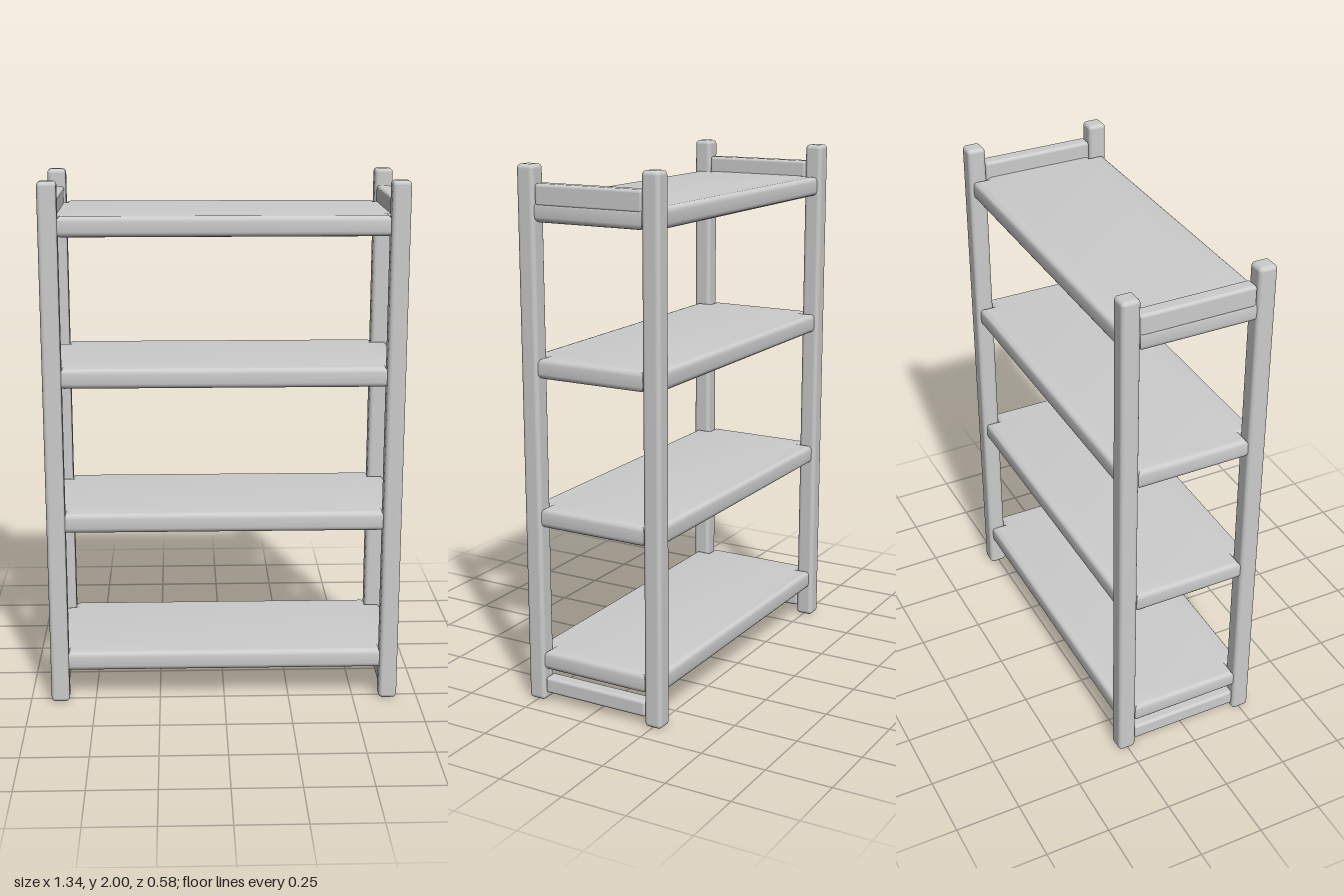
import * as THREE from 'three';
import { RoundedBoxGeometry } from 'three/addons/geometries/RoundedBoxGeometry.js';
import { toCreasedNormals } from 'three/addons/utils/BufferGeometryUtils.js';

const HEIGHT = 2;
const POST = 0.07;          // post thickness
const POST_X = 0.636;       // post centres
const POST_Z = 0.253;
const SHELF_H = 0.076;

// Board with notched corners: a full-depth slab whose ends reach between the posts
function shelfGeometry() {
  const inX = 0.605, outX = 0.663, inZ = 0.218, outZ = 0.274, bevel = 0.02;
  const quarter = [[outX, inZ], [inX, inZ], [inX, outZ]];
  const mirrored = [...quarter].reverse();
  const outline = [
    ...quarter,
    ...mirrored.map(([x, z]) => [-x, z]),
    ...quarter.map(([x, z]) => [-x, -z]),
    ...mirrored.map(([x, z]) => [x, -z]),
  ].map(([x, z]) => new THREE.Vector2(x, z));
  const geometry = new THREE.ExtrudeGeometry(new THREE.Shape(outline), {
    depth: SHELF_H - 2 * bevel,
    bevelEnabled: true,
    bevelSize: bevel,
    bevelThickness: bevel,
    bevelOffset: -bevel,
    bevelSegments: 4,
  });
  geometry.rotateX(-Math.PI / 2);
  geometry.center();
  return toCreasedNormals(geometry, 0.7);
}

export function createModel() {
  const group = new THREE.Group();
  group.name = 'shelvingUnit';
  const grey = new THREE.MeshStandardMaterial({ color: 0xcccccc });
  grey.name = 'light grey';

  const add = (name, geometry, x, y, z) => {
    const mesh = new THREE.Mesh(geometry, grey);
    mesh.name = name;
    mesh.position.set(x, y, z);
    group.add(mesh);
  };

  const postGeo = new RoundedBoxGeometry(POST, HEIGHT, POST, 4, 0.016);
  const topRailGeo = new RoundedBoxGeometry(0.056, 0.08, 0.436, 4, 0.012);
  const bottomRailGeo = new RoundedBoxGeometry(0.056, 0.063, 0.436, 4, 0.012);

  // Corner posts and the side rails joining them
  for (const [side, sx] of [['left', 1], ['right', -1]]) {
    add(side + 'FrontPost', postGeo, sx * POST_X, HEIGHT / 2, POST_Z);
    add(side + 'BackPost', postGeo, sx * POST_X, HEIGHT / 2, -POST_Z);
    add(side + 'TopRail', topRailGeo, sx * 0.635, 1.895, 0);
    add(side + 'BottomRail', bottomRailGeo, sx * 0.635, 0.062, 0);
  }

  // Four evenly spaced shelves
  const shelfGeo = shelfGeometry();
  for (let i = 0; i < 4; i++) add('shelf' + (i + 1), shelfGeo, 0, 0.161 + i * 0.5585, 0);

  return group;
}
